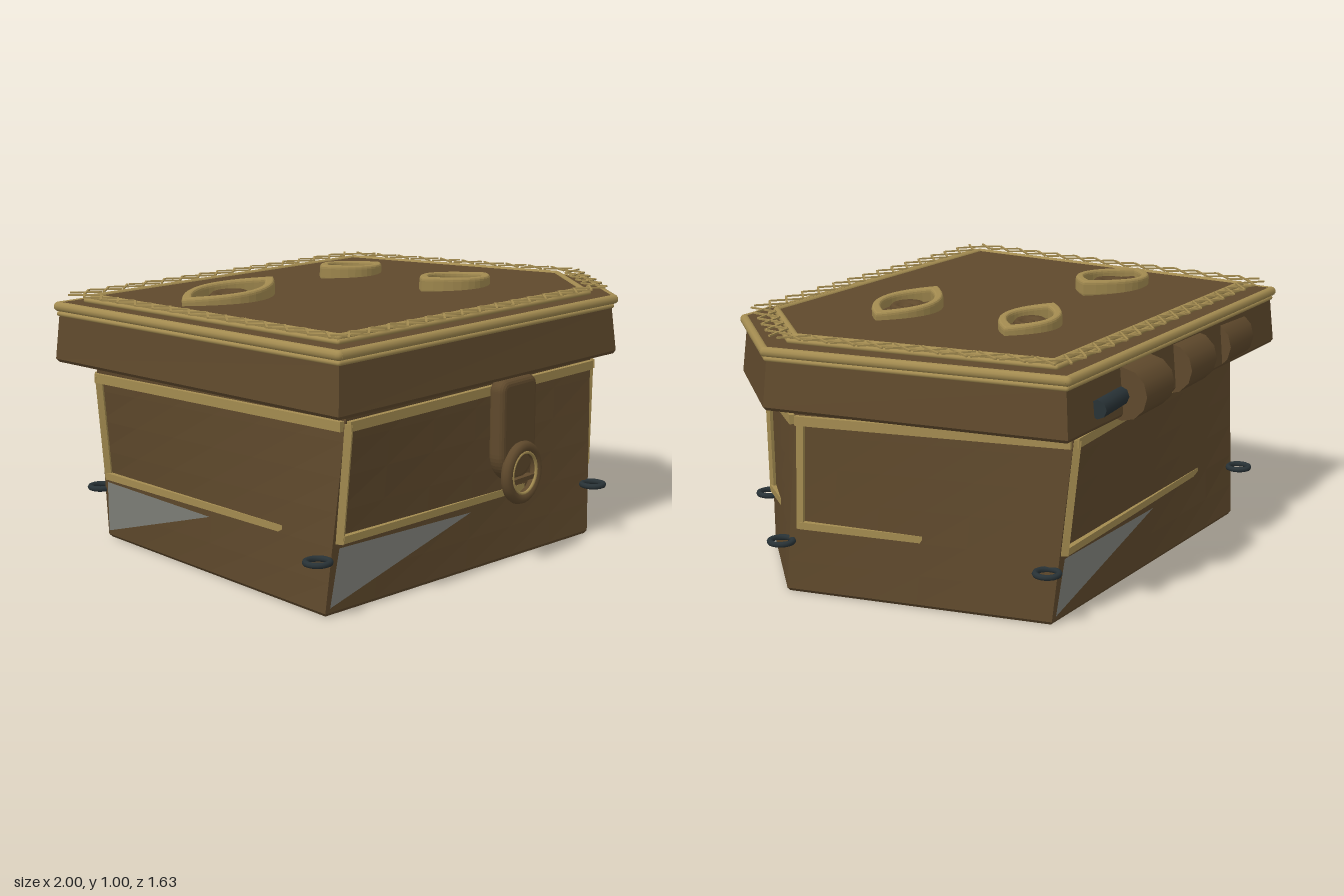
import * as THREE from 'three';

const mat = (name, color) => Object.assign(new THREE.MeshStandardMaterial({ color }), { name });
const V = (x, y, z) => new THREE.Vector3(x, y, z);

// Five-sided outlines as [x, z], starting front right and running round the front
const BOTTOM = [[-0.92, 0.6], [0.5, 0.74], [0.9, 0.39], [0.715, -0.6], [-0.7, -0.67]];
const TOP = [[-0.865, 0.65], [0.58, 0.685], [0.89, 0.335], [0.66, -0.655], [-0.81, -0.595]];
const LID = [[-0.985, 0.715], [0.61, 0.78], [0.99, 0.4], [0.825, -0.715], [-0.86, -0.76]];
const RIM = [[-0.965, 0.7], [0.605, 0.76], [0.97, 0.395], [0.81, -0.7], [-0.85, -0.745]];
const INNER = [[-0.855, 0.61], [0.54, 0.665], [0.855, 0.35], [0.725, -0.61], [-0.76, -0.65]];
const BODY_H = 0.7;

const mix = (p, q, t) => p.map((v, k) => v + (q[k] - v) * t);
const shrink = (outline, s) => outline.map(([x, z]) => [x * s, z * s]);
const bodyOutline = (y) => BOTTOM.map((p, i) => mix(p, TOP[i], y / BODY_H));

// Point on body side i, at fraction t along it and height y, pushed out by d
const onSide = (i, t, y, d) => {
  const o = bodyOutline(y), p = o[i], q = o[(i + 1) % 5];
  const [x, z] = mix(p, q, t);
  const len = Math.hypot(q[0] - p[0], q[1] - p[1]);
  return V(x - (q[1] - p[1]) / len * d, y, z + (q[0] - p[0]) / len * d);
};

// Solid lofted through a stack of outlines: [[outline, y], ...]
const loft = (layers) => {
  const rings = layers.map(([o, y]) => o.map(([x, z]) => V(x, y, z)));
  const pts = [];
  const n = rings[0].length;
  for (let k = 0; k + 1 < rings.length; k++) {
    for (let i = 0; i < n; i++) {
      const j = (i + 1) % n, a = rings[k], b = rings[k + 1];
      pts.push(a[i], a[j], b[j], a[i], b[j], b[i]);
    }
  }
  const lo = rings[0], hi = rings[rings.length - 1];
  for (let i = 1; i + 1 < n; i++) pts.push(hi[0], hi[i], hi[i + 1], lo[0], lo[i + 1], lo[i]);
  const g = new THREE.BufferGeometry().setFromPoints(pts);
  g.computeVertexNormals();
  return g;
};

export function createModel() {
  const root = new THREE.Group();
  const brown = mat('brown leather', 0x5f492c);
  const gold = mat('old gold', 0xa38b50);
  const iron = mat('dark iron', 0x283236);
  const grey = mat('grey plate', 0x82837c);
  grey.side = THREE.DoubleSide;

  const add = (name, geo, material, parent = root) => {
    const m = new THREE.Mesh(geo, material);
    m.name = name;
    parent.add(m);
    return m;
  };

  const group = (name) => {
    const g = new THREE.Group();
    g.name = name;
    root.add(g);
    return g;
  };

  // Mesh whose z axis runs from a to b
  const span = (name, geo, a, b, parent) => {
    const m = add(name, geo, gold, parent);
    m.position.copy(a).lerp(b, 0.5);
    m.lookAt(b);
  };
  const strip = (name, a, b, w, parent) =>
    span(name, new THREE.BoxGeometry(w, w, a.distanceTo(b)), a, b, parent);

  // Rounded moulding round an outline
  const moulding = (name, outline, y, r) => {
    const g = group(name);
    outline.forEach(([x, z], i) => {
      const [x2, z2] = outline[(i + 1) % 5];
      const a = V(x, y, z), b = V(x2, y, z2);
      span('mouldingSide', new THREE.CylinderGeometry(r, r, a.distanceTo(b), 10).rotateX(Math.PI / 2), a, b, g);
      add('mouldingCorner', new THREE.SphereGeometry(r, 10, 8), gold, g).position.copy(a);
    });
  };

  // Body with gently twisted sides
  const divide = (o) => o.flatMap((p, i) => [0, 1, 2, 3, 4, 5].map((k) => mix(p, o[(i + 1) % 5], k / 6)));
  const layers = [[divide(shrink(BOTTOM, 0.988)), 0]];
  for (const y of [0.012, 0.12, 0.24, 0.36, 0.48, 0.6, BODY_H]) layers.push([divide(bodyOutline(y)), y]);
  add('body', loft(layers), brown);

  // Lid
  add('lid', loft([[shrink(LID, 0.99), 0.7], [LID, 0.712], [RIM, 0.875], [RIM, 0.925]]), brown);
  add('lidPanel', loft([[INNER, 0.92], [INNER, 0.948]]), brown);
  moulding('outerMoulding', shrink(LID, 0.986), 0.91, 0.018);
  moulding('lowerBead', RIM, 0.883, 0.009);
  moulding('innerMoulding', INNER, 0.942, 0.014);
  moulding('innerBead', shrink(INNER, 1.03), 0.932, 0.009);

  // Gold frames and grey corner plates; uprights stay plumb while the corners lean.
  // Each entry: upright top, upright foot and foot rail end, as fractions of the side
  const FRAMES = [[0.01, 0.022, 0.72], [0.07, 0.17, 0.47], [0.025, 0.045, 0.5], [0.012, 0.015, 0.78], [0.015, 0.03, 0.8]];
  FRAMES.forEach(([top, foot, end], i) => {
    const g = group('sideFrame');
    strip('frameTop', onSide(i, 0.005, 0.652, 0.002), onSide(i, 0.995, 0.652, 0.002), 0.034, g);
    strip('frameUpright', onSide(i, foot, 0.25, 0.004), onSide(i, top, 0.66, 0.004), 0.026, g);
    strip('frameFoot', onSide(i, foot, 0.264, 0.008), onSide(i, end, 0.254, -0.013), 0.026, g);
    if (i === 0 || i > 2) {
      const tri = [onSide(i, 0.01, 0.03, 0.006), onSide(i, 0.5, 0.22, 0.005), onSide(i, 0.02, 0.235, 0.006)];
      const geo = new THREE.BufferGeometry().setFromPoints(tri);
      geo.computeVertexNormals();
      add('cornerPlate', geo, grey, g);
    }
  });

  // Cross stitches around the lid border
  const stitches = group('stitching');
  for (let i = 0; i < 5; i++) {
    const mid = (k) => V((RIM[k][0] + INNER[k][0]) / 2, 0.957, (RIM[k][1] + INNER[k][1]) / 2);
    const a = mid(i), b = mid((i + 1) % 5);
    const n = Math.round(a.distanceTo(b) / 0.1);
    const heading = Math.atan2(b.x - a.x, b.z - a.z);
    for (let k = 0; k < n; k++) {
      for (const turn of [-0.7, 0.7]) {
        const m = add('stitch', new THREE.BoxGeometry(0.008, 0.006, 0.12), gold, stitches);
        m.position.copy(a).lerp(b, (k + 0.5) / n);
        m.rotation.y = heading + turn;
      }
    }
  }

  // Eyes: tilted, rounded almond rim with a round iris and pupil
  const almond = (path, w, h) =>
    path.moveTo(-w, 0).quadraticCurveTo(0, -h * 2, w, 0).quadraticCurveTo(0, h * 2, -w, 0);
  for (const [x, z, w, h, tilt] of [
    [-0.483, -0.22, 0.25, 0.133, 0.06], [0.312, -0.29, 0.187, 0.107, -0.06], [0.305, 0.235, 0.215, 0.118, -0.06],
  ]) {
    const eye = group('eye');
    eye.position.set(x, 0.94, z);
    eye.rotation.z = tilt;
    const shape = almond(new THREE.Shape(), w, h);
    shape.holes.push(almond(new THREE.Path(), w - 0.055, h - 0.03));
    const rim = new THREE.ExtrudeGeometry(shape, {
      depth: 0.035, bevelThickness: 0.014, bevelSize: 0.009, bevelOffset: -0.009,
      bevelSegments: 3, curveSegments: 14,
    });
    add('eyeRim', rim.rotateX(-Math.PI / 2), gold, eye);
    const r = h * 0.58;
    const profile = [[r, -0.01], [r, 0.02], [r * 0.85, 0.032], [r * 0.55, 0.03], [r * 0.5, 0.018], [0, 0.018]];
    add('iris', new THREE.LatheGeometry(profile.map((p) => new THREE.Vector2(...p)), 16), brown, eye);
    add('pupil', new THREE.SphereGeometry(r * 0.32, 12, 8).scale(1, 0.5, 1), brown, eye).position.y = 0.019;
  }

  // Latch: pill-edged tongue with a ring
  const latch = group('latch');
  latch.position.x = -0.015;
  const tongue = new THREE.Shape();
  tongue.moveTo(-0.09, 0.655).lineTo(-0.09, 0.43).absarc(0, 0.43, 0.09, Math.PI, Math.PI * 2);
  tongue.lineTo(0.09, 0.655).quadraticCurveTo(0.09, 0.675, 0.07, 0.675).lineTo(-0.07, 0.675);
  tongue.quadraticCurveTo(-0.09, 0.675, -0.09, 0.655);
  const tongueGeo = new THREE.ExtrudeGeometry(tongue, {
    depth: 0.018, bevelThickness: 0.024, bevelSize: 0.024, bevelSegments: 4, curveSegments: 12,
  });
  add('latchTongue', tongueGeo, brown, latch).position.z = 0.722;
  add('latchRing', new THREE.TorusGeometry(0.095, 0.022, 10, 28), brown, latch).position.set(0, 0.35, 0.773);
  add('latchRingEdge', new THREE.TorusGeometry(0.076, 0.006, 6, 28), gold, latch).position.set(0, 0.35, 0.786);
  add('latchBar', new THREE.BoxGeometry(0.14, 0.016, 0.03), brown, latch).position.set(0, 0.325, 0.768);

  // Hinge knuckles and slightly skewed pin
  const hinge = group('hinge');
  for (const [x, z] of [[-0.487, -0.685], [-0.085, -0.704], [0.325, -0.72]]) {
    const k = new THREE.CylinderGeometry(0.095, 0.095, 0.225, 12).rotateZ(Math.PI / 2);
    add('hingeKnuckle', k, brown, hinge).position.set(x, 0.78, z);
  }
  const pin = add('hingePin', new THREE.CylinderGeometry(0.034, 0.034, 0.84, 8).rotateZ(Math.PI / 2), iron, hinge);
  pin.position.set(0.22, 0.775, -0.7);
  pin.rotation.y = 0.065;

  // Iron rings at the five lower corners
  for (const [x, z] of [[-0.95, 0.595], [0.5, 0.76], [0.925, 0.39], [0.74, -0.595], [-0.715, -0.69]]) {
    const t = new THREE.TorusGeometry(0.042, 0.011, 8, 18).rotateX(Math.PI / 2);
    add('cornerRing', t, iron).position.set(x, 0.2, z);
  }

  return root;
}
